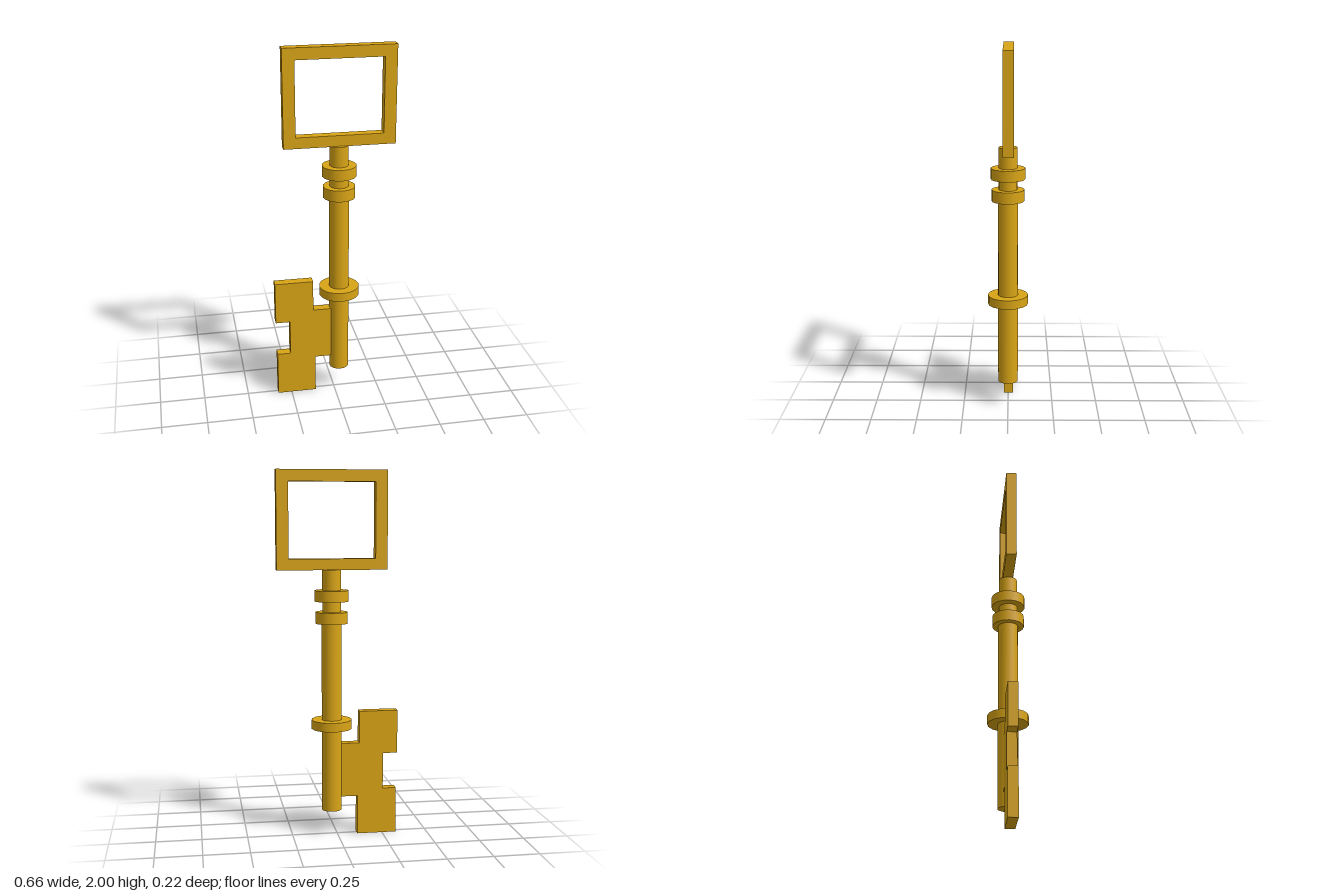
import * as THREE from 'three';

const AXIS_X = 0.03; // the shaft sits slightly to the model's left

export function createModel() {
  const key = new THREE.Group();
  key.name = 'key';
  const gold = new THREE.MeshStandardMaterial({ color: 0xdaa515 });

  const add = (name, geometry) => {
    const mesh = new THREE.Mesh(geometry, gold);
    mesh.name = name;
    key.add(mesh);
  };

  // Upright round part between two heights
  const turned = (name, radius, y0, y1) => {
    const g = new THREE.CylinderGeometry(radius, radius, y1 - y0, 16);
    add(name, g.translate(AXIS_X, (y0 + y1) / 2, 0));
  };

  // Flat plate cut from an outline, between two depths
  const plate = (name, shape, z0, z1) => {
    const g = new THREE.ExtrudeGeometry(shape, { depth: z1 - z0, bevelEnabled: false });
    add(name, g.translate(0, 0, z0));
  };
  const outline = (points) => points.map(([x, y]) => new THREE.Vector2(x, y));
  const rect = (x0, y0, x1, y1) => outline([[x0, y0], [x1, y0], [x1, y1], [x0, y1]]);

  // Rectangular handle with an open window
  const bow = new THREE.Shape(rect(-0.27, 1.47, 0.33, 2));
  bow.holes.push(new THREE.Path(rect(-0.205, 1.53, 0.265, 1.937)));
  plate('bow', bow, -0.032, 0.025);

  // Shaft, neck and collars
  turned('shaft', 0.055, 0.14, 1.2);
  turned('neck', 0.051, 1.2, 1.472);
  turned('upperCollar', 0.093, 1.3, 1.36);
  turned('middleCollar', 0.088, 1.18, 1.243);
  turned('lowerCollar', 0.111, 0.6, 0.65);

  // Notched bit at the foot of the shaft
  plate('bit', new THREE.Shape(outline([
    [-0.333, 0.695], [-0.333, 0.455], [-0.253, 0.455], [-0.253, 0.255],
    [-0.327, 0.255], [-0.327, 0], [-0.11, 0], [-0.11, 0.217],
    [-0.02, 0.217], [-0.02, 0.518], [-0.12, 0.518], [-0.12, 0.695],
  ])), -0.028, 0.025);

  return key;
}
